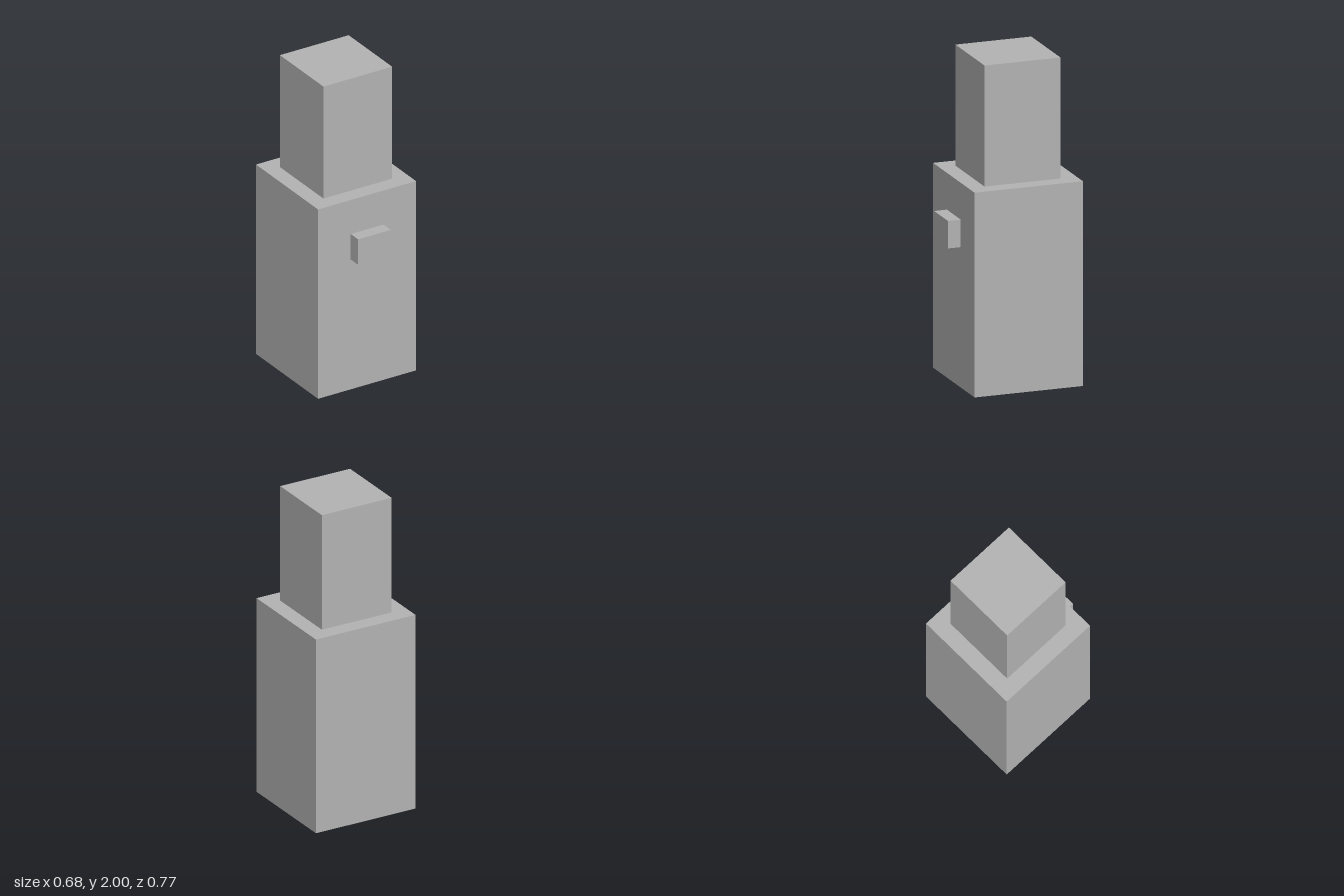
import * as THREE from 'three';

export function createModel() {
  const model = new THREE.Group();
  const grey = new THREE.MeshStandardMaterial({ color: 0xb2b2b2 });
  grey.name = 'grey';

  // Adds a box from its x, y and z extents
  function addBox(name, [x0, x1], [y0, y1], [z0, z1]) {
    const mesh = new THREE.Mesh(new THREE.BoxGeometry(x1 - x0, y1 - y0, z1 - z0), grey);
    mesh.position.set((x0 + x1) / 2, (y0 + y1) / 2, (z0 + z1) / 2);
    mesh.name = name;
    model.add(mesh);
  }

  // Main block, narrower block on top, and the small button on the front
  addBox('body', [-0.342, 0.342], [0, 1.257], [-0.383, 0.302]);
  addBox('cap', [-0.24, 0.24], [1.257, 2], [-0.28, 0.2]);
  addBox('button', [-0.114, 0.114], [0.862, 1.031], [0.302, 0.383]);

  return model;
}
